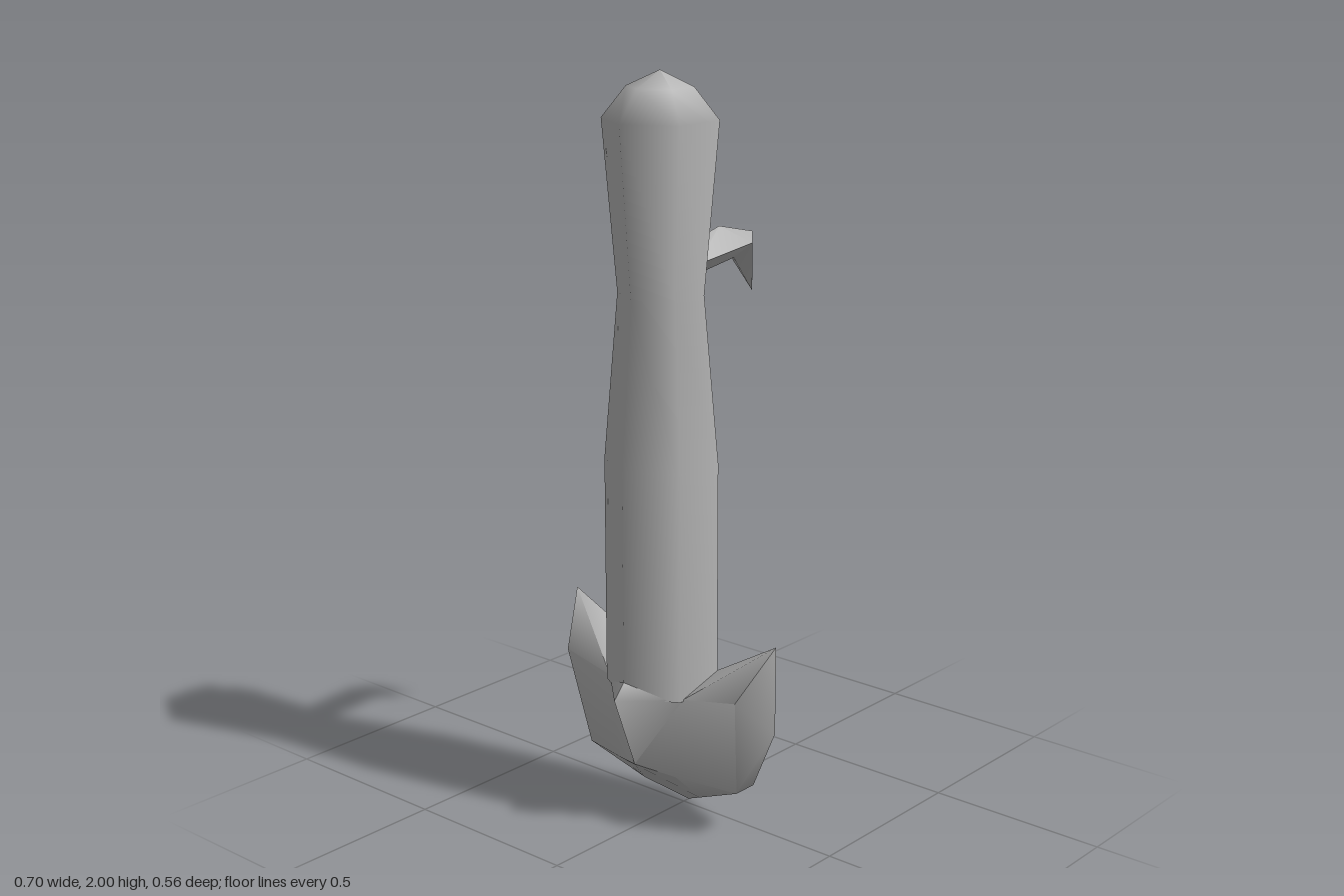
import * as THREE from 'three';
import { toCreasedNormals } from 'three/addons/utils/BufferGeometryUtils.js';

const grey = new THREE.MeshStandardMaterial({ color: 0xb4b4b4 });
grey.name = 'grey';

// Mirrors the triangles of one half across x = 0 and turns each one away from the centre.
function mirroredShell(name, points, faces, centre, crease) {
  const positions = [];
  const c = new THREE.Vector3(...centre);
  for (const side of [1, -1]) {
    for (const face of faces) {
      const [p, q, r] = face.split(' ').map((key) => {
        const [x, y, z] = points[key];
        return new THREE.Vector3(side * x, y, z);
      });
      const normal = q.clone().sub(p).cross(r.clone().sub(p));
      const outward = normal.dot(p.clone().sub(c)) > 0;
      for (const v of outward ? [p, q, r] : [p, r, q]) positions.push(v.x, v.y, v.z);
    }
  }
  const geometry = new THREE.BufferGeometry();
  geometry.setAttribute('position', new THREE.Float32BufferAttribute(positions, 3));
  const mesh = new THREE.Mesh(toCreasedNormals(geometry, crease), grey);
  mesh.name = name;
  return mesh;
}

export function createModel() {
  const model = new THREE.Group();
  model.name = 'anchorShapedHandle';

  // Six-sided waisted shaft with a domed top
  const profile = [
    [0.15, 0.385], [0.15, 1.0], [0.112, 1.44], [0.15, 1.88], [0.086, 1.96], [0, 2],
  ].map(([r, y]) => new THREE.Vector2(r, y));
  const shaft = new THREE.Mesh(new THREE.LatheGeometry(profile, 6), grey);
  shaft.name = 'shaft';
  shaft.position.z = 0.09;
  model.add(shaft);

  // Anchor base: nose in front, two upswept arms, pointed bottom
  const base = {
    noseTip: [0, 0.39, 0.277],
    noseTop: [0, 0.43, 0.24],
    noseLow: [0, 0.185, 0.2],
    notch: [0.1, 0.16, 0.15],
    armRootFront: [0.13, 0.39, 0.153],
    armRootBack: [0.13, 0.43, 0.012],
    armTip: [0.35, 0.56, 0.045],
    armFront: [0.295, 0.42, 0.143],
    armOuter: [0.35, 0.32, 0.045],
    armLowFront: [0.26, 0.14, 0.09],
    armLowBack: [0.26, 0.14, 0.02],
    keelFront: [0.1, 0.065, 0.05],
    keelBack: [0.1, 0.06, 0],
    backTop: [0, 0.43, -0.06],
    backLow: [0, 0.13, -0.06],
    point: [0, 0.005, -0.02],
  };
  const centre = [0, 0.25, 0.07];
  model.add(mirroredShell('anchorBase', base, [
    // front
    'noseTip armRootFront noseLow', 'armRootFront notch noseLow', 'armRootFront armFront armLowFront',
    'armRootFront armLowFront notch', 'notch armLowFront keelFront',
    // arm ends
    'armTip armFront armOuter', 'armFront armLowFront armOuter', 'armOuter armLowFront armLowBack',
    // underside
    'armLowFront armLowBack keelBack', 'armLowFront keelBack keelFront', 'point keelFront keelBack',
    // back
    'backTop armRootBack backLow', 'armRootBack armTip armOuter', 'armRootBack armOuter armLowBack',
    'armRootBack armLowBack keelBack', 'armRootBack keelBack backLow', 'backLow keelBack point',
    // top
    'armTip armFront armRootFront', 'armTip armRootFront armRootBack', 'noseTip armRootFront noseTop',
  ], centre, 1.1));

  // Sloping recess below the nose
  model.add(mirroredShell('keelFace', base, [
    'noseLow notch keelFront', 'noseLow keelFront point',
  ], centre, 1.1));

  // Down-turned hook on the back, diamond in section
  const hook = {
    rootTop: [0, 1.55, -0.01],
    rootSide: [0.057, 1.51, 0.012],
    rootLow: [0, 1.463, -0.015],
    bendTop: [0, 1.582, -0.14],
    bendSide: [0.057, 1.535, -0.207],
    bendLow: [0, 1.49, -0.2],
    endTop: [0, 1.55, -0.278],
    endLow: [0, 1.39, -0.278],
  };
  model.add(mirroredShell('backHook', hook, [
    'rootTop rootSide bendTop', 'rootSide bendSide bendTop',
    'rootSide rootLow bendSide', 'rootLow bendLow bendSide',
    'bendTop bendSide endTop', 'bendSide endLow endTop', 'bendSide bendLow endLow',
  ], [0, 1.53, -0.215], 1.1));

  return model;
}
